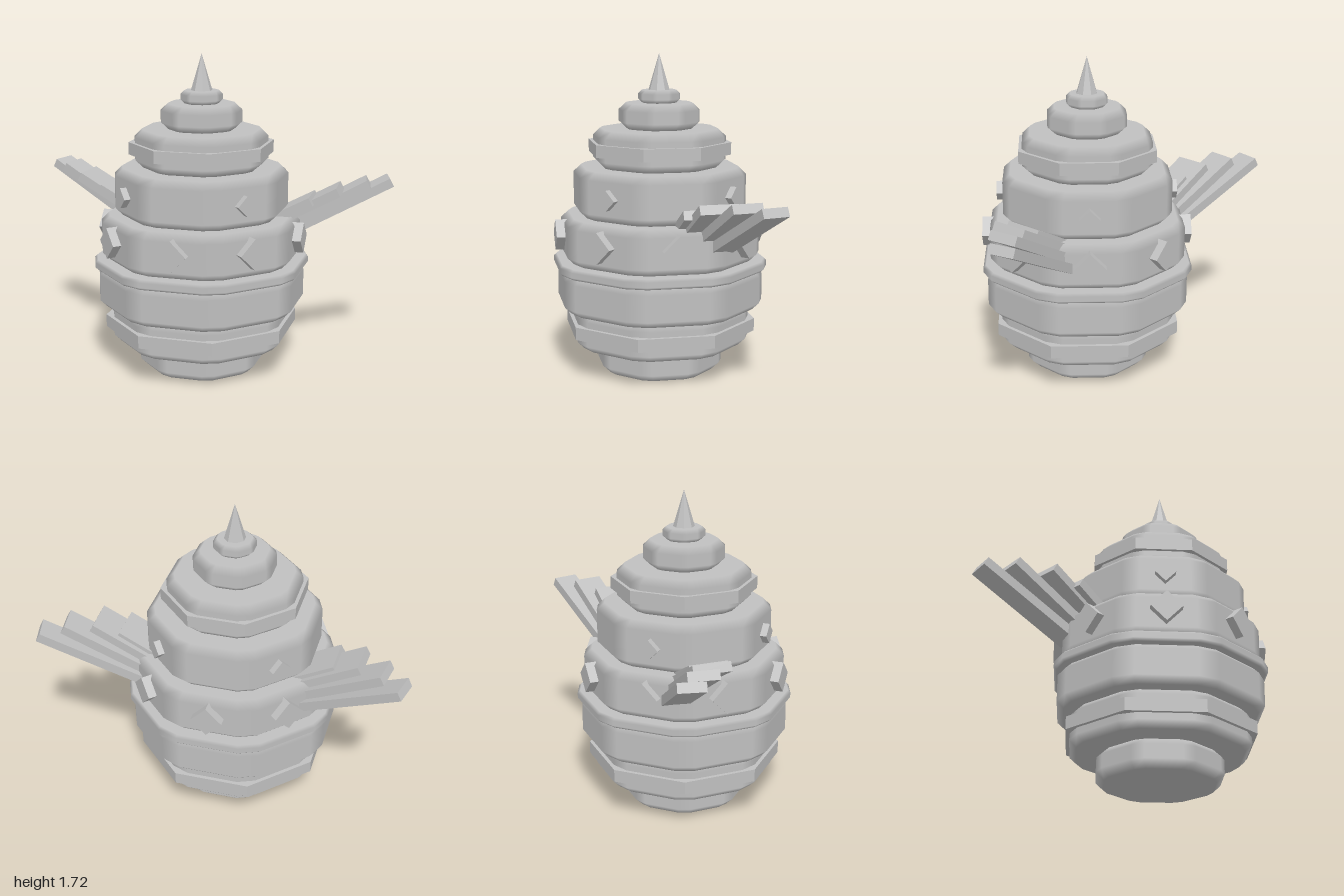
import * as THREE from 'three';

const stone = new THREE.MeshStandardMaterial({ color: 0xc0c0c0 });
stone.name = 'grey stone';

function add(parent, geometry, name) {
  const mesh = new THREE.Mesh(geometry, stone);
  mesh.name = name;
  parent.add(mesh);
  return mesh;
}

function faceted(geometry) {
  const g = geometry.toNonIndexed();
  g.computeVertexNormals();
  return g;
}

// Octagonal drum with chamfered corners and rims; the chamfers shade softly between flat faces
function bevelledDrum(y0, y1, apothem, bevel) {
  const pos = [], nor = [], idx = [];
  const corner = apothem * 0.115;
  const rings = [[y0, bevel, -1], [y0 + bevel, 0, 0], [y1 - bevel, 0, 0], [y1, bevel, 1]];
  for (const [y, inset, up] of rings) {
    const a = apothem - inset;
    const half = a * Math.tan(Math.PI / 8) - corner * a / apothem;
    for (let k = 0; k < 8; k++) {
      const t = k * Math.PI / 4, s = Math.sin(t), c = Math.cos(t);
      for (const side of [-1, 1]) {
        pos.push(a * s + side * half * c, y, a * c - side * half * s);
        if (up) nor.push(0, up, 0); else nor.push(s, 0, c);
      }
    }
  }
  for (let r = 0; r < 3; r++) {
    for (let i = 0; i < 16; i++) {
      const j = (i + 1) % 16, a = r * 16 + i, b = r * 16 + j;
      idx.push(a, b, b + 16, a, b + 16, a + 16);
    }
  }
  for (let i = 1; i < 15; i++) {
    idx.push(0, i + 1, i);
    idx.push(48, 48 + i, 49 + i);
  }
  const g = new THREE.BufferGeometry();
  g.setAttribute('position', new THREE.Float32BufferAttribute(pos, 3));
  g.setAttribute('normal', new THREE.Float32BufferAttribute(nor, 3));
  g.setIndex(idx);
  return g;
}

// Sharp octagonal band with flats facing the axes
function band(y0, y1, apothem) {
  const r = apothem / Math.cos(Math.PI / 8);
  const g = new THREE.CylinderGeometry(r, r, y1 - y0, 8, 1, false, Math.PI / 8);
  g.translate(0, (y0 + y1) / 2, 0);
  return faceted(g);
}

// Diamond stud on the drum face at the given angle
function stud(parent, angle, y, out, size, depth) {
  const g = new THREE.BoxGeometry(size, size, depth);
  g.rotateZ(Math.PI / 4);
  g.translate(0, y, out - depth / 2);
  g.rotateY(angle);
  add(parent, g, 'diamondStud');
}

// Flat feather running from root to tip
function feather(parent, root, tip, width, side) {
  const a = new THREE.Vector3(root[0] * side, root[1], root[2]);
  const b = new THREE.Vector3(tip[0] * side, tip[1], tip[2]);
  const along = b.clone().sub(a);
  const length = along.length();
  along.normalize();
  const across = new THREE.Vector3().crossVectors(along, new THREE.Vector3(0, 1, 0)).normalize();
  const up = new THREE.Vector3().crossVectors(across, along);
  const g = new THREE.BoxGeometry(length, 0.05, width);
  g.applyMatrix4(new THREE.Matrix4().makeBasis(along, up, across).setPosition(a.add(b).multiplyScalar(0.5)));
  add(parent, g, 'feather');
}

export function createModel() {
  const model = new THREE.Group();
  model.name = 'tieredHive';

  // Stacked drums: bottom, top, apothem, bevel
  const tiers = [
    [0, 0.155, 0.327, 0.04],
    [0.155, 0.358, 0.467, 0.035],
    [0.358, 0.57, 0.538, 0.035],
    [0.62, 0.863, 0.52, 0.04],
    [0.863, 1.12, 0.449, 0.04],
    [1.12, 1.322, 0.344, 0.04],
    [1.322, 1.458, 0.209, 0.037],
    [1.458, 1.526, 0.108, 0.02],
  ];
  tiers.forEach((t, i) => add(model, bevelledDrum(...t), 'tier' + (i + 1)));
  add(model, bevelledDrum(0.567, 0.622, 0.56, 0.014), 'waistRing');
  add(model, band(0.225, 0.293, 0.487), 'lowerBand');
  add(model, band(1.187, 1.253, 0.362), 'upperBand');

  // Pointed finial
  const spike = new THREE.ConeGeometry(0.058, 0.196, 8, 1, false, Math.PI / 8);
  spike.translate(0, 1.622, 0);
  add(model, faceted(spike), 'spike');

  // Large studs on every face, small ones on the diagonals
  const studs = new THREE.Group();
  studs.name = 'studs';
  model.add(studs);
  for (let k = 0; k < 8; k++) {
    stud(studs, k * Math.PI / 4, 0.757, 0.567, 0.117, 0.1);
    if (k % 2) stud(studs, k * Math.PI / 4, 0.99, 0.485, 0.076, 0.08);
  }

  // Mirrored wings of four overlapping feathers
  const feathers = [
    [[0.44, 0.74, -0.235], [0.97, 1.02, -0.37], 0.14],
    [[0.42, 0.78, -0.19], [0.865, 1.025, -0.265], 0.16],
    [[0.38, 0.81, -0.14], [0.73, 1.0, -0.16], 0.2],
    [[0.36, 0.825, -0.11], [0.595, 0.95, -0.115], 0.21],
  ];
  for (const side of [1, -1]) {
    const wing = new THREE.Group();
    wing.name = side > 0 ? 'leftWing' : 'rightWing';
    for (const [root, tip, width] of feathers) feather(wing, root, tip, width, side);
    model.add(wing);
  }
  return model;
}
